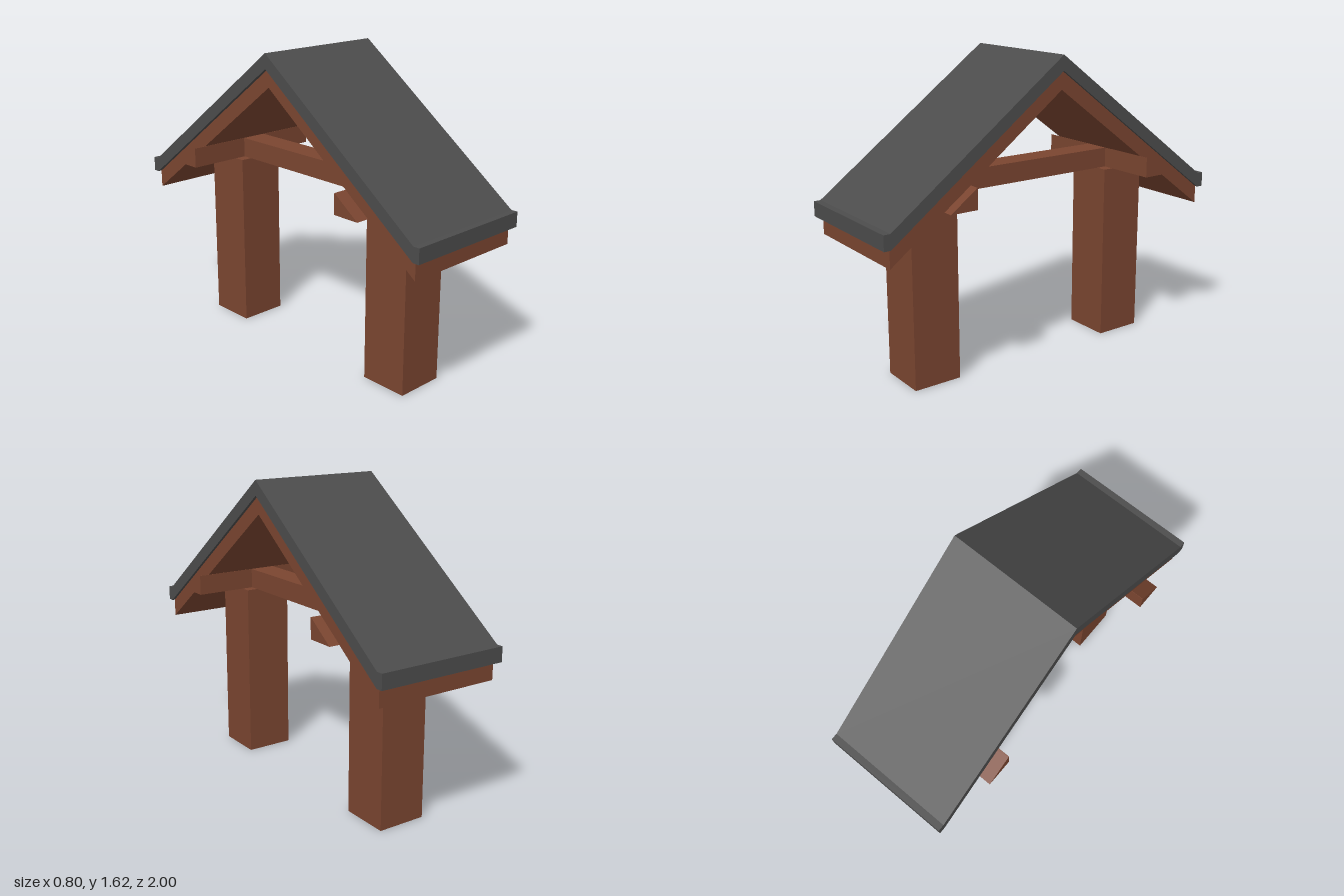
import * as THREE from 'three';

const timber = new THREE.MeshStandardMaterial({ color: 0x7a4530 });
timber.name = 'brown timber';
const slate = new THREE.MeshStandardMaterial({ color: 0x4c4c4c });
slate.name = 'dark grey roofing';

// Extrude a [z, y] side profile along x, from x0 to x1
function sideProfile(name, points, x0, x1, material) {
  const shape = new THREE.Shape(points.map(([z, y]) => new THREE.Vector2(z, y)));
  const geometry = new THREE.ExtrudeGeometry(shape, { depth: x1 - x0, bevelEnabled: false });
  geometry.rotateY(-Math.PI / 2);
  geometry.translate(x1, 0, 0);
  const mesh = new THREE.Mesh(geometry, material);
  mesh.name = name;
  return mesh;
}

// Complete a profile given for the +z half, running from top ridge to bottom ridge
function gable(half) {
  const mirrored = half.slice(1, -1).reverse().map(([z, y]) => [-z, y]);
  return [...half, ...mirrored];
}

export function createModel() {
  const model = new THREE.Group();
  model.name = 'gabledShelter';

  // Roof covering with flat eave lips
  model.add(sideProfile('roofCovering', gable([
    [0, 1.625], [0.965, 0.91], [1, 0.91], [1, 0.833], [0.965, 0.833], [0, 1.548],
  ]), -0.35, 0.36, slate));

  // Timber decking below the covering
  model.add(sideProfile('roofDecking', gable([
    [0, 1.548], [0.965, 0.833], [0.965, 0.74], [0, 1.455],
  ]), -0.33, 0.345, timber));

  // Posts and cross beams, cut to the roof slope, front and back
  for (const [side, s] of [['front', 1], ['back', -1]]) {
    const place = (points) => points.map(([z, y]) => [z * s, y]);
    model.add(sideProfile(side + 'Post', place([
      [0.475, 0], [0.735, 0], [0.735, 0.91], [0.675, 0.955], [0.475, 0.955],
    ]), -0.125, 0.135, timber));
    model.add(sideProfile(side + 'CrossBeam', place([
      [0.53, 0.955], [0.677, 0.955], [0.532, 1.06], [0.53, 1.06],
    ]), -0.4, 0.4, timber));
  }

  // Tie beam joining the two posts
  const tie = new THREE.Mesh(new THREE.BoxGeometry(0.14, 0.105, 1.06), timber);
  tie.name = 'tieBeam';
  tie.position.set(0.005, 1.0075, 0);
  model.add(tie);

  return model;
}
